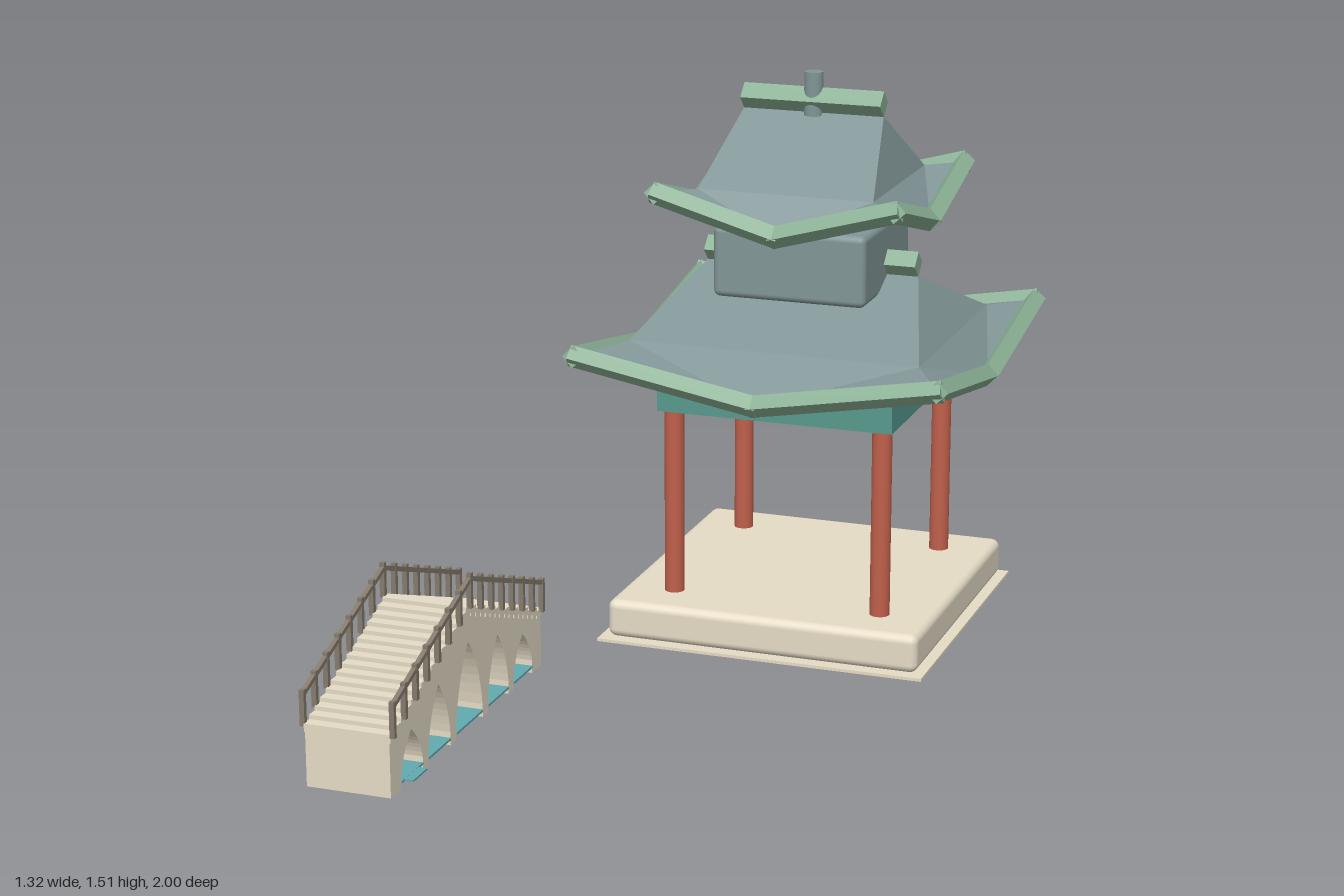
import * as THREE from 'three';
import { RoundedBoxGeometry } from 'three/addons/geometries/RoundedBoxGeometry.js';

const mat = (name, color, extra = {}) => {
  const m = new THREE.MeshStandardMaterial({ color, ...extra });
  m.name = name;
  return m;
};

export function createModel() {
  const stone = mat('stone', 0xe6dcc6);
  const red = mat('red paint', 0xc0604b);
  const teal = mat('teal beam', 0x579a8e);
  const green = mat('green trim', 0x8ab094);
  const tile = mat('roof tile', 0x829697, { side: THREE.DoubleSide });
  const wood = mat('rail wood', 0x857b6d);
  const water = mat('water', 0x62aab0);

  const add = (parent, name, geo, material, x = 0, y = 0, z = 0) => {
    const m = new THREE.Mesh(geo, material);
    m.name = name;
    m.position.set(x, y, z);
    parent.add(m);
  };
  const box = (w, h, d) => new THREE.BoxGeometry(w, h, d);

  // Square bar from a to b; turned on its edge when diamond is set
  const bar = (parent, name, a, b, r, material, diamond, extend = 0) => {
    const s = diamond ? r * Math.SQRT2 : r * 2;
    const geo = box(s, s, a.distanceTo(b) + extend * 2);
    if (diamond) geo.rotateZ(Math.PI / 4);
    const m = new THREE.Mesh(geo, material);
    m.name = name;
    m.position.copy(a).lerp(b, 0.5);
    m.lookAt(b); // aimed in local space, before it gets a parent
    parent.add(m);
  };

  // Hipped roof: ridge, bent middle ring, eaves that dip in the middle of each side
  const roof = (parent, name, o) => {
    const g = new THREE.Group();
    g.name = name;
    parent.add(g);
    const V = (x, y, z) => new THREE.Vector3(x, y, z);
    const signs = [[1, 1], [1, -1], [-1, -1], [-1, 1]];
    const eave = signs.map(([x, z]) => V(x * o.eave, o.cornerY, z * o.eave));
    const ring = signs.map(([x, z]) => V(x * o.ringX, o.ringY, z * o.ringZ));
    const ridge = signs.map(([x]) => V(x * o.ridge, o.ridgeY, 0));
    const centre = V(0, o.soffitY, 0);
    const top = [], under = [];
    for (let i = 0; i < 4; i++) {
      const j = (i + 1) % 4;
      const mid = eave[i].clone().lerp(eave[j], 0.5).setY(o.midY);
      top.push(eave[i], mid, ring[i], mid, ring[j], ring[i], mid, eave[j], ring[j]);
      top.push(ring[i], ring[j], ridge[i]);
      if (i % 2) top.push(ring[j], ridge[j], ridge[i]);
      under.push(mid, eave[i], centre, eave[j], mid, centre);
      bar(g, 'eaveTrim', eave[i], mid, o.trim, green, true, 0.012);
      bar(g, 'eaveTrim', mid, eave[j], o.trim, green, true, 0.012);
    }
    for (const [part, pts] of [['roofTiles', top], ['roofUnderside', under]]) {
      const geo = new THREE.BufferGeometry().setFromPoints(pts);
      geo.computeVertexNormals();
      add(g, part, geo, tile);
    }
    const y = o.ridgeY + 0.032;
    bar(g, 'ridgeBeam', V(-o.ridge, y, 0), V(o.ridge, y, 0), 0.034, green, true);
  };

  const model = new THREE.Group();
  model.name = 'pavilionAndBridge';

  // Pavilion
  const pavilion = new THREE.Group();
  pavilion.name = 'pavilion';
  pavilion.position.set(0.145, 0, -0.485);
  model.add(pavilion);
  add(pavilion, 'groundPlate', box(0.885, 0.008, 0.885), stone, 0, 0.049, 0);
  add(pavilion, 'baseSlab', new RoundedBoxGeometry(0.845, 0.102, 0.845, 3, 0.022), stone, 0, 0.104, 0);
  for (const x of [-1, 1]) for (const z of [-1, 1]) {
    add(pavilion, 'column', new THREE.CylinderGeometry(0.026, 0.026, 0.61, 20), red, x * 0.283, 0.455, z * 0.283);
  }
  for (const s of [-1, 1]) {
    add(pavilion, 'sideBeam', box(0.07, 0.08, 0.636), teal, s * 0.283, 0.695, 0);
    add(pavilion, 'crossBeam', box(0.496, 0.08, 0.07), teal, 0, 0.695, s * 0.283);
  }
  roof(pavilion, 'lowerRoof', {
    eave: 0.483, cornerY: 0.829, midY: 0.744, ringX: 0.39, ringZ: 0.33, ringY: 0.843,
    ridge: 0.29, ridgeY: 0.992, soffitY: 0.75, trim: 0.029,
  });
  add(pavilion, 'upperStorey', new RoundedBoxGeometry(0.412, 0.19, 0.412, 3, 0.018), tile, 0, 1.04, 0);
  roof(pavilion, 'upperRoof', {
    eave: 0.319, cornerY: 1.234, midY: 1.145, ringX: 0.235, ringZ: 0.235, ringY: 1.236,
    ridge: 0.19, ridgeY: 1.408, soffitY: 1.14, trim: 0.029,
  });
  add(pavilion, 'finial', new THREE.CylinderGeometry(0.025, 0.025, 0.115, 16), tile, 0, 1.457, 0);

  // Bridge, running along z
  const bridge = new THREE.Group();
  bridge.name = 'bridge';
  bridge.position.set(-0.525, 0, 0.531);
  model.add(bridge);
  const half = 0.469;
  const deckY = (z) => 0.325 - 0.17 * Math.abs(z) / half;

  // Arched wall: outline with pointed openings reaching the ground
  const arches = [[-0.346, 0.062, 0.13], [-0.184, 0.066, 0.185], [0, 0.082, 0.23],
    [0.184, 0.066, 0.185], [0.346, 0.062, 0.13]];
  const wall = new THREE.Shape();
  wall.moveTo(-half, 0);
  for (const [c, w, h] of arches) {
    wall.lineTo(c - w, 0);
    wall.lineTo(c - w, 0.035);
    wall.quadraticCurveTo(c - w * 0.8, h * 0.68, c, h);
    wall.quadraticCurveTo(c + w * 0.8, h * 0.68, c + w, 0.035);
    wall.lineTo(c + w, 0);
  }
  wall.lineTo(half, 0);
  wall.lineTo(half, deckY(half) - 0.014);
  wall.lineTo(0, deckY(0) - 0.014);
  wall.lineTo(-half, deckY(half) - 0.014);
  const wallGeo = new THREE.ExtrudeGeometry(wall, { depth: 0.22, bevelEnabled: false, curveSegments: 8 });
  wallGeo.rotateY(-Math.PI / 2);
  add(bridge, 'archedWall', wallGeo, stone, 0.11, 0, 0);

  // Stepped deck
  const steps = 31, tread = half * 2 / steps;
  for (let i = 0; i < steps; i++) {
    const z = -half + tread * (i + 0.5);
    add(bridge, 'step', box(0.226, 0.022, tread), stone, 0, deckY(z) - 0.011, z);
  }

  // Railings with posts
  for (const s of [-1, 1]) {
    const x = s * 0.117;
    for (const e of [-1, 1]) {
      bar(bridge, 'handrail', new THREE.Vector3(x, 0.232, e * (half - 0.004)),
        new THREE.Vector3(x, 0.397, 0), 0.006, wood, false);
    }
    for (let i = 0; i < 15; i++) {
      const z = (i / 7 - 1) * (half - 0.0065);
      add(bridge, 'railPost', box(0.013, 0.092, 0.013), wood, x, deckY(z) + 0.041, z);
    }
  }

  // Water under each arch, spilling a little past the walls at the front arch
  for (const [c, w] of arches) add(bridge, 'water', box(0.222, 0.006, w * 2), water, 0, 0.017, c);
  add(bridge, 'waterSpill', box(0.268, 0.005, 0.08), water, 0, 0.017, 0.352);
  return model;
}
